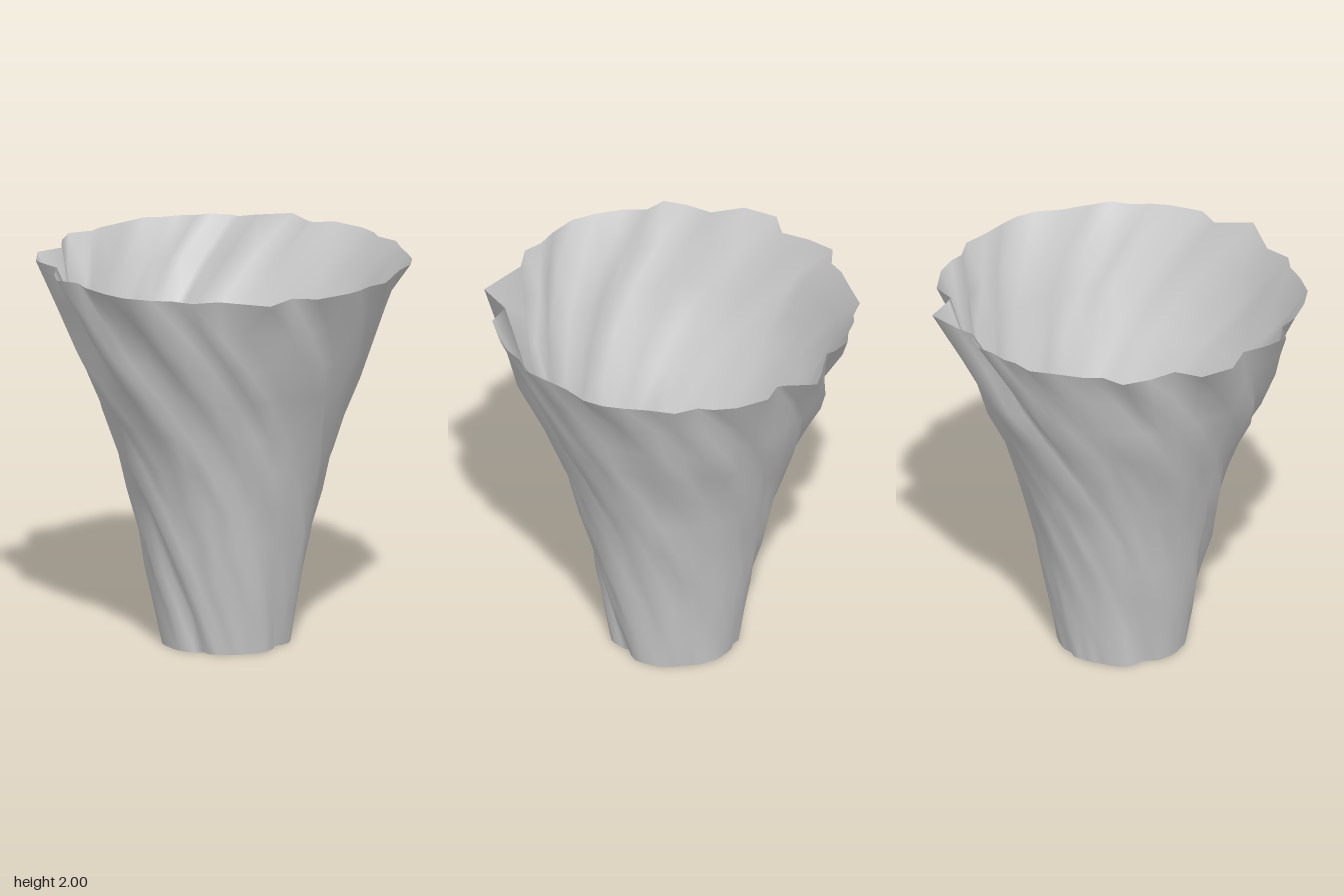
import * as THREE from 'three';

// Rim outline as [x, z], running from +x towards +z
const RIM = [
  [0.95, 0.07], [0.93, 0.18], [0.86, 0.29], [0.8, 0.44], [0.76, 0.54], [0.67, 0.6], [0.61, 0.68], [0.54, 0.74],
  [0.38, 0.83], [0.25, 0.8], [0.12, 0.95], [-0.13, 0.83], [-0.27, 0.85], [-0.36, 0.79], [-0.47, 0.76], [-0.6, 0.7],
  [-0.69, 0.6], [-0.77, 0.47], [-0.8, 0.36], [-0.9, 0.3], [-0.9, 0.18], [-0.87, 0.04], [-0.96, -0.11], [-0.93, -0.29],
  [-0.8, -0.36], [-0.78, -0.51], [-0.73, -0.65], [-0.61, -0.68], [-0.55, -0.75], [-0.42, -0.84], [-0.31, -0.92], [-0.2, -0.92],
  [-0.14, -0.94], [-0.04, -0.94], [0.04, -0.96], [0.14, -0.92], [0.17, -0.89], [0.27, -0.91], [0.45, -0.92], [0.51, -0.76],
  [0.53, -0.73], [0.65, -0.72], [0.77, -0.59], [0.82, -0.48], [0.83, -0.4], [0.91, -0.3], [0.92, -0.16], [0.94, -0.04],
];
// Mean radius of each ring from the base up, one ring per 0.2 of height
const PROFILE = [0.328, 0.36, 0.4, 0.442, 0.49, 0.545, 0.61, 0.69, 0.77, 0.835, 0.92];
// Folds pressed into the base, in degrees
const FOLDS = [36, 121, 198];
const TWIST = THREE.MathUtils.degToRad(88);

// Seeded values from -1 to 1
function seededNoise(seed) {
  let s = seed;
  return () => {
    s = (s * 16807) % 2147483647;
    return (s / 2147483647) * 2 - 1;
  };
}

// Funnel wall with a spiralling, crumpled surface
function funnelGeometry() {
  const cols = RIM.length;
  const rows = PROFILE.length - 1;
  const positions = [];
  const index = [];
  const noise = seededNoise(4711);
  const crumple = RIM.map(() => 0);

  for (let j = 0; j <= rows; j++) {
    const t = j / rows;
    const centreZ = -0.03 * Math.min(1, (1 - t) * 4);
    RIM.forEach(([x, z], i) => {
      const even = ((i + 0.5) / cols) * Math.PI * 2;
      let rimAngle = Math.atan2(z, x);
      if (rimAngle < 0) rimAngle += Math.PI * 2;
      const angle = THREE.MathUtils.lerp(even, rimAngle, t) - TWIST * (1 - t);

      // Rim ripple fades downwards; crumples carry on partly from ring to ring
      const ripple = Math.hypot(x, z) / 0.92 - 1;
      crumple[i] = crumple[i] * 0.5 + noise() * 0.03;
      let radius = PROFILE[j] * (1 + ripple * Math.pow(t, 3.5) + crumple[i] * Math.min(1, (1 - t) * 8));
      for (const fold of FOLDS) {
        const offset = even - TWIST - THREE.MathUtils.degToRad(fold);
        const d = Math.atan2(Math.sin(offset), Math.cos(offset)) / 0.11;
        radius -= 0.045 * Math.exp(-d * d) * (1 - t) ** 3;
      }
      positions.push(radius * Math.cos(angle), t * 2, radius * Math.sin(angle) + centreZ);
    });
  }

  for (let j = 0; j < rows; j++) {
    for (let i = 0; i < cols; i++) {
      const next = (i + 1) % cols;
      const a = j * cols + i;
      const b = j * cols + next;
      index.push(a, a + cols, b, b, a + cols, b + cols);
    }
  }

  const geometry = new THREE.BufferGeometry();
  geometry.setAttribute('position', new THREE.Float32BufferAttribute(positions, 3));
  geometry.setIndex(index);
  geometry.computeVertexNormals();
  return geometry;
}

export function createModel() {
  const model = new THREE.Group();
  model.name = 'twistedFunnel';
  const material = new THREE.MeshStandardMaterial({ color: 0xcccccc, side: THREE.DoubleSide });
  const wall = new THREE.Mesh(funnelGeometry(), material);
  wall.name = 'funnelWall';
  model.add(wall);
  return model;
}
